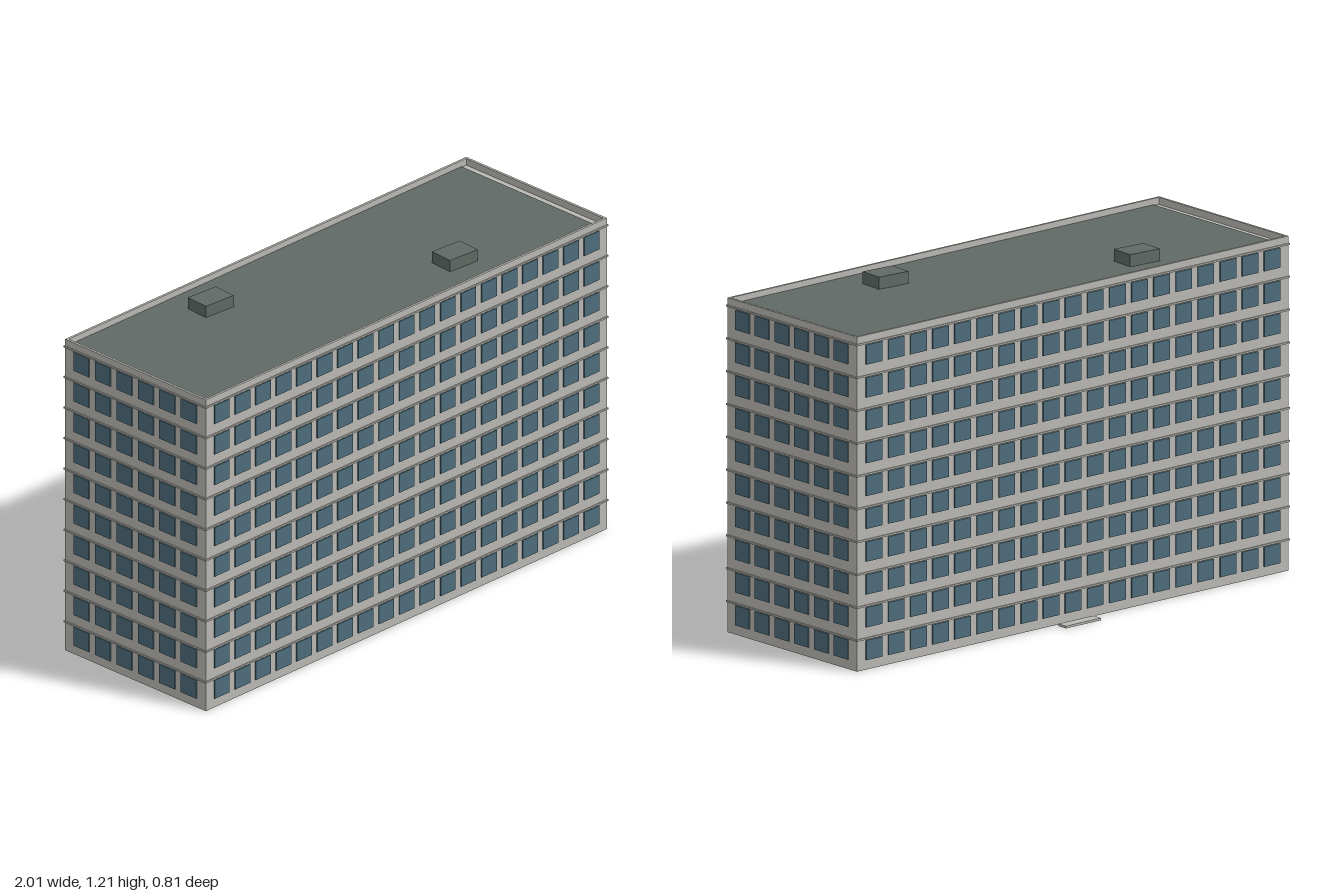
import * as THREE from 'three';

const LENGTH = 1.958, DEPTH = 0.671, TOP = 1.185, DECK = 1.157;
const FLOORS = 10, STOREY = 0.1163;
const TURN = 0.0689; // the block stands slightly turned on its plot

const concrete = new THREE.MeshStandardMaterial({ name: 'concrete', color: 0xb9b8b3 });
const glass = new THREE.MeshStandardMaterial({ name: 'window blue', color: 0x4d6d7b });
const roofing = new THREE.MeshStandardMaterial({ name: 'roof grey', color: 0x606965 });

// Box standing on height y, centred on x and z
function box(parent, name, material, w, h, d, x, y, z) {
  const mesh = new THREE.Mesh(new THREE.BoxGeometry(w, h, d), material);
  mesh.name = name;
  mesh.position.set(x, y + h / 2, z);
  parent.add(mesh);
  return mesh;
}

// Grid of window plates on one wall, facing +z before it is turned into place
function windowWall(name, columns, pitch, distance, angle) {
  const wall = new THREE.Group();
  wall.name = name;
  for (let floor = 0; floor < FLOORS; floor++) {
    for (let i = 0; i < columns; i++) {
      const x = (i - (columns - 1) / 2) * pitch;
      box(wall, 'window', glass, 0.073, 0.07, 0.005, x, 0.034 + floor * STOREY, distance + 0.0015);
    }
  }
  wall.rotation.y = angle;
  return wall;
}

export function createModel() {
  const model = new THREE.Group();
  model.name = 'apartmentBlock';

  const building = new THREE.Group();
  building.name = 'building';
  building.rotation.y = TURN;
  model.add(building);

  // Main body
  box(building, 'walls', concrete, LENGTH, DECK, DEPTH, 0, 0, 0);

  // Thin ledge running round the block above every row of windows
  for (let floor = 0; floor < FLOORS; floor++) {
    box(building, 'floorLedge', concrete, LENGTH + 0.008, 0.006, DEPTH + 0.008, 0, 0.107 + floor * STOREY, 0);
  }

  // Windows on all four sides
  building.add(
    windowWall('frontWindows', 19, 0.1003, DEPTH / 2, 0),
    windowWall('backWindows', 19, 0.1003, DEPTH / 2, Math.PI),
    windowWall('leftWindows', 6, 0.1025, LENGTH / 2, Math.PI / 2),
    windowWall('rightWindows', 6, 0.1025, LENGTH / 2, -Math.PI / 2)
  );

  // Parapet round the roof edge
  const t = 0.009, rise = TOP - DECK;
  for (const s of [-1, 1]) {
    box(building, 'longParapet', concrete, LENGTH, rise, t, 0, DECK, s * (DEPTH - t) / 2);
    box(building, 'endParapet', concrete, t, rise, DEPTH - 2 * t, s * (LENGTH - t) / 2, DECK, 0);
  }

  // Roof covering, stopping short of the end parapets
  box(building, 'roofDeck', roofing, 1.89, 0.007, DEPTH - 2 * t - 0.004, 0, DECK, 0);

  // Entrance slab behind the block
  box(building, 'entranceSlab', concrete, 0.158, 0.008, 0.04, 0, 0, -0.371);

  // Roof vents, square to the plot
  for (const [x, z] of [[-0.44, -0.148], [0.416, 0.143]]) {
    box(model, 'roofVent', roofing, 0.127, 0.046, 0.092, x, 1.161, z);
  }
  return model;
}
